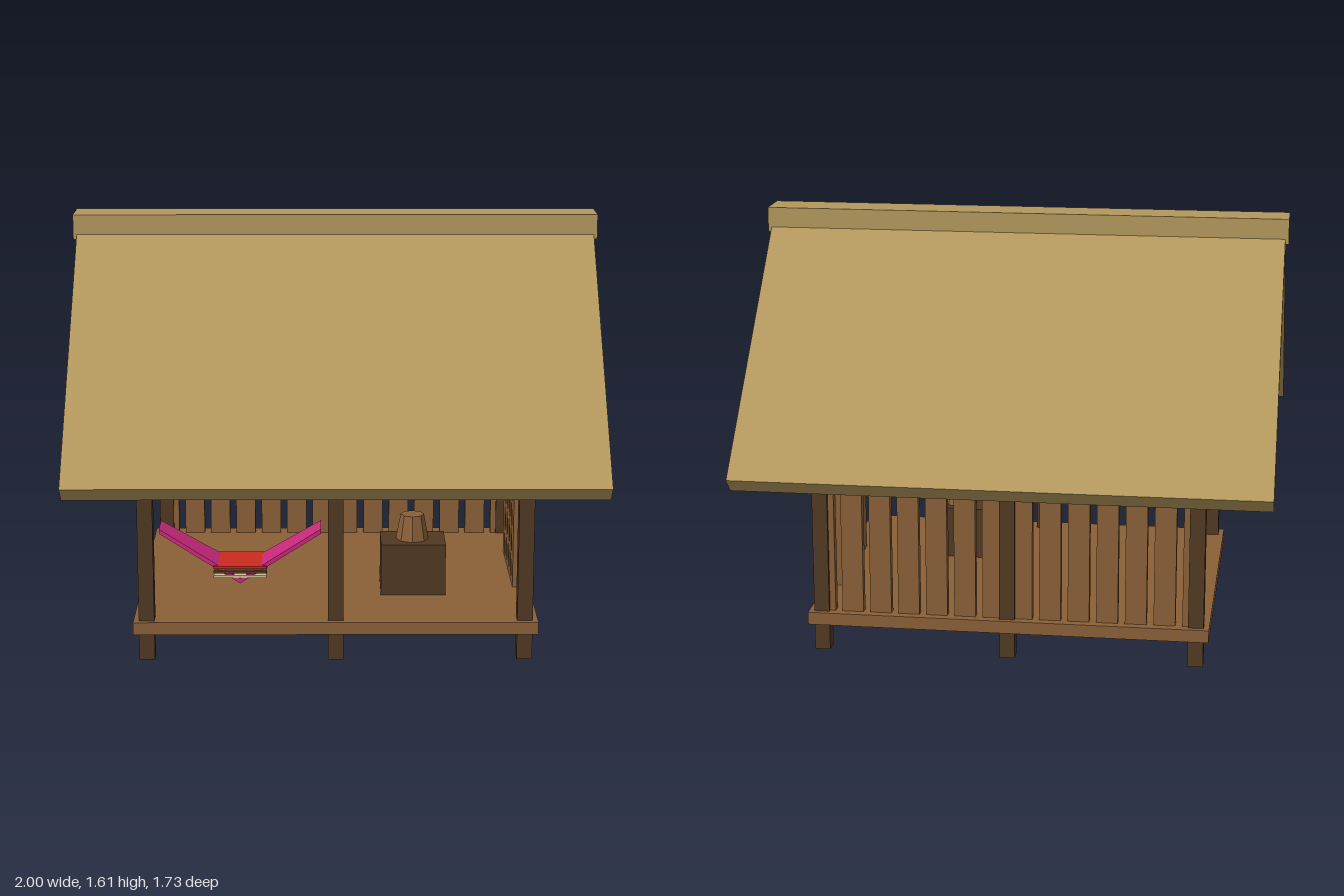
import * as THREE from 'three';

const mat = (name, color, side = THREE.FrontSide) => {
  const m = new THREE.MeshStandardMaterial({ color, side });
  m.name = name;
  return m;
};

export function createModel() {
  const thatch = mat('thatch', 0xb3985d);
  const wood = mat('wood', 0x8a6038);
  const darkWood = mat('dark wood', 0x503922);
  const pink = mat('pink cloth', 0xc92a7c);
  const red = mat('red cloth', 0xcc2a1e);
  const cream = mat('cream cloth', 0xcbbf94);

  const root = new THREE.Group();
  root.name = 'thatchedHut';

  const add = (name, geometry, material, x = 0, y = 0, z = 0, parent = root) => {
    const mesh = new THREE.Mesh(geometry, material);
    mesh.name = name;
    mesh.position.set(x, y, z);
    parent.add(mesh);
    return mesh;
  };
  const box = (name, material, w, h, d, x, y, z, parent) =>
    add(name, new THREE.BoxGeometry(w, h, d), material, x, y, z, parent);
  // Extrudes a (z, y) outline along x, centred on the given x
  const alongX = (name, points, length, material, x) => {
    const shape = new THREE.Shape(points.map(([z, y]) => new THREE.Vector2(z, y)));
    const g = new THREE.ExtrudeGeometry(shape, { depth: length, bevelEnabled: false });
    g.translate(0, 0, -length / 2).rotateY(-Math.PI / 2);
    return add(name, g, material, x);
  };
  const group = (name) => {
    const g = new THREE.Group();
    g.name = name;
    root.add(g);
    return g;
  };

  // Deck and its six posts
  box('deck', wood, 1.515, 0.048, 1.215, 0, 0.129, 0);
  const posts = group('posts');
  for (const x of [-0.708, 0, 0.708])
    for (const z of [-0.558, 0.558])
      box('post', darkWood, 0.058, 0.76, 0.058, x, 0.38, z, posts);

  // Back wall and short side wall of spaced planks
  const backWall = group('backWall');
  for (let i = 0; i < 14; i++)
    box('backPlank', wood, 0.081, 0.58, 0.035, (i - 6.5) * 0.1073, 0.435, -0.556, backWall);
  const sideWall = group('sideWall');
  for (let i = 0; i < 5; i++)
    box('sidePlank', wood, 0.035, 0.58, 0.08, 0.71, 0.435, 0.151 - i * 0.101, sideWall);

  // Two sloping roof sides as one chevron, with a ridge cap
  alongX('roof', [
    [0.863, 0.742], [0.808, 0.687], [0, 1.495], [-0.808, 0.687], [-0.863, 0.742],
    [-0.05, 1.555], [0.05, 1.555],
  ], 1.974, thatch, 0);
  box('ridgeCap', thatch, 2, 0.095, 0.152, 0, 1.5575, 0);

  // Thatched gable at each end
  for (const s of [-1, 1])
    alongX('gable', [[0.607, 0.714], [-0.607, 0.714], [-0.16, 1.345], [0, 1.52], [0.16, 1.345]],
      0.012, thatch, s * 0.751);

  // Hammock: two cloth halves that widen toward the sagging middle
  const hammock = group('hammock');
  hammock.position.set(-0.355, 0, 0.535);
  for (const s of [-1, 1]) {
    const g = new THREE.BoxGeometry(0.3, 0.018, 1);
    const p = g.attributes.position;
    for (let i = 0; i < p.count; i++) {
      const t = (p.getX(i) + 0.15) / 0.3;
      const outward = s > 0 ? t : 1 - t;
      p.setY(i, p.getY(i) + 0.321 + outward * 0.183);
      p.setZ(i, p.getZ(i) * (0.175 - outward * 0.06));
    }
    g.computeVertexNormals();
    add('hammockHalf', g, pink, s * 0.15, 0, 0, hammock);
  }
  // Folded blankets in the hammock
  [[cream, 0.338], [darkWood, 0.356], [red, 0.374]].forEach(([m, y]) =>
    box('blanket', m, 0.195, 0.01, 0.18, 0, y, 0, hammock));

  // Chest with a tapered basket on top
  box('chest', darkWood, 0.25, 0.205, 0.18, 0.3, 0.2545, 0.2);
  const basket = new THREE.CylinderGeometry(0.045, 0.064, 0.1, 8).toNonIndexed();
  basket.computeVertexNormals();
  add('basket', basket, wood, 0.298, 0.405, 0.2);

  return root;
}
